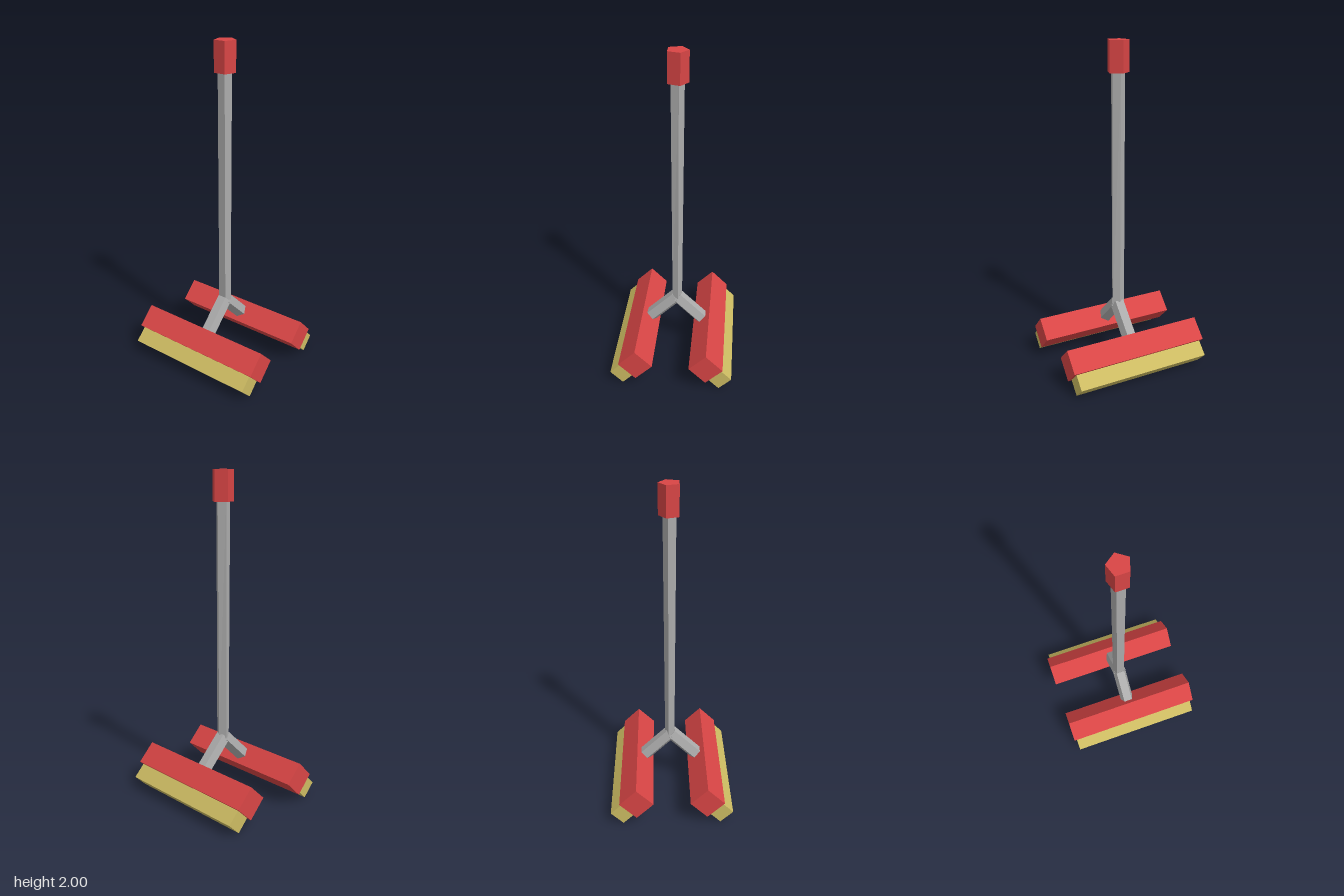
import * as THREE from 'three';

export function createModel() {
  const red = new THREE.MeshStandardMaterial({ color: 0xd84545 });
  const grey = new THREE.MeshStandardMaterial({ color: 0xacacac });
  const yellow = new THREE.MeshStandardMaterial({ color: 0xccbb62 });
  red.name = 'red';
  grey.name = 'grey metal';
  yellow.name = 'straw yellow';
  for (const m of [red, grey, yellow]) m.flatShading = true;

  const model = new THREE.Group();
  model.name = 'doubleHeadBroom';

  const add = (parent, name, geometry, material, x, y, z) => {
    const mesh = new THREE.Mesh(geometry, material);
    mesh.name = name;
    mesh.position.set(x, y, z);
    parent.add(mesh);
    return mesh;
  };
  // five-sided bar; start = direction of its sharp edge
  const bar = (radius, length, start) =>
    new THREE.CylinderGeometry(radius, radius, length, 5, 1, false, start);

  const JOINT = 0.376;
  const TOP = 2;
  const GRIP = 1.82;

  // pole, slightly flattened towards the joint
  const poleLength = GRIP + 0.02 - JOINT;
  const poleGeo = bar(0.042, poleLength, Math.PI);
  const p = poleGeo.attributes.position;
  for (let i = 0; i < p.count; i++) {
    if (p.getY(i) < 0) p.setZ(i, p.getZ(i) * 0.78);
  }
  poleGeo.computeVertexNormals();
  add(model, 'pole', poleGeo, grey, 0, JOINT + poleLength / 2, -0.003);

  // grip at the top of the pole
  add(model, 'grip', bar(0.065, TOP - GRIP, Math.PI), red, 0, (TOP + GRIP) / 2, -0.005);

  // two heads spreading from the joint at 45 degrees, local +y pointing outwards
  for (const [name, turn] of [['frontHead', 0], ['backHead', Math.PI]]) {
    const side = new THREE.Group();
    side.name = name;
    side.rotation.y = turn;
    const head = new THREE.Group();
    head.position.y = JOINT;
    head.rotation.x = Math.PI * 0.75;
    side.add(head);
    add(head, 'arm', bar(0.046, 0.27, 0), grey, 0, 0.135, 0);
    add(head, 'block', new THREE.BoxGeometry(0.885, 0.147, 0.147), red, 0, 0.306, 0);
    add(head, 'bristles', new THREE.BoxGeometry(0.85, 0.117, 0.108), yellow, 0, 0.4185, 0);
    model.add(side);
  }
  return model;
}
